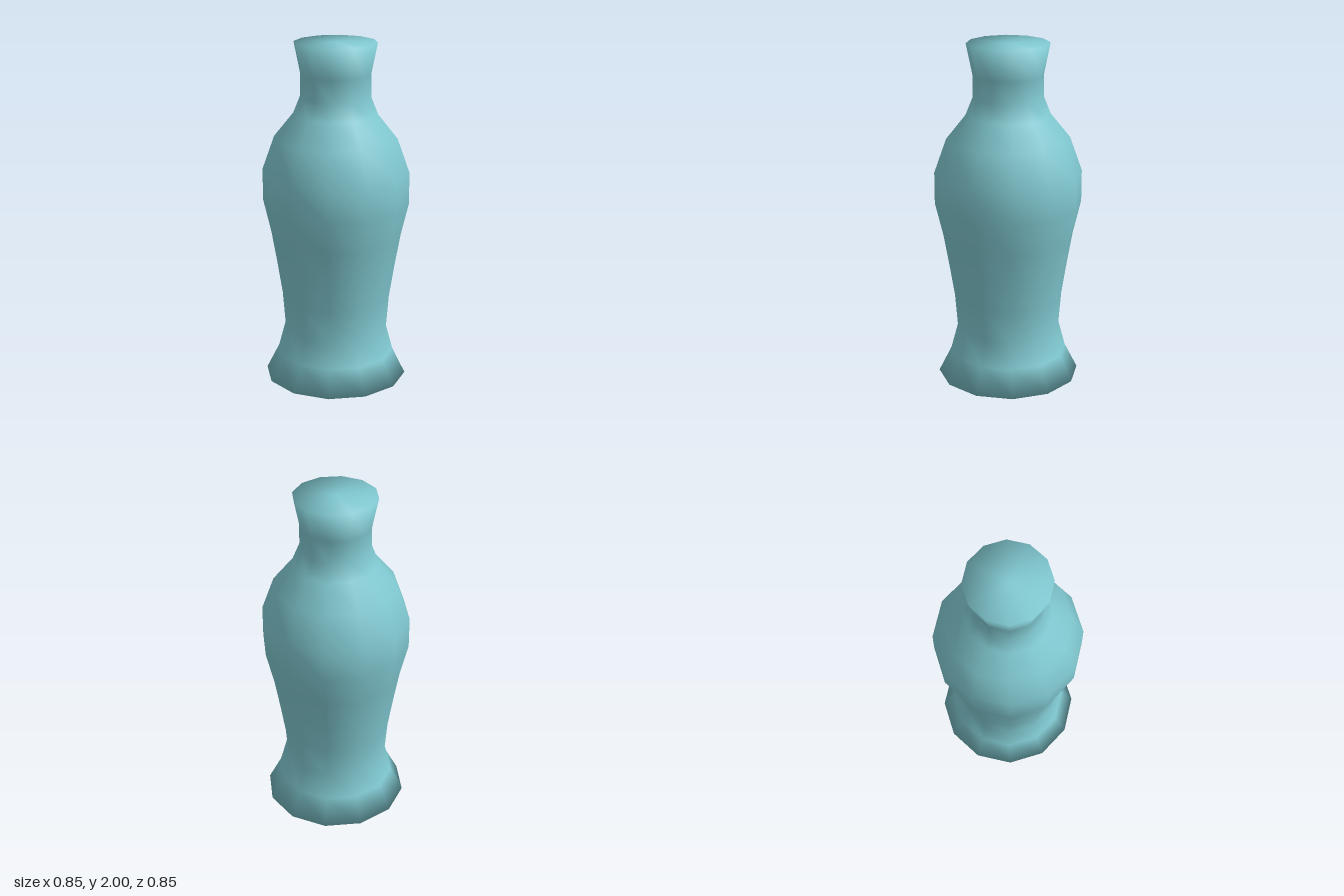
import * as THREE from 'three';
import { mergeVertices } from 'three/addons/utils/BufferGeometryUtils.js';

// Twelve-sided solid of revolution whose caps blend smoothly into the wall
function smoothLathe(profile, sides) {
  const points = profile.map(([r, y]) => new THREE.Vector2(r, y));
  const lathe = new THREE.LatheGeometry(points, sides);
  lathe.deleteAttribute('normal');
  lathe.deleteAttribute('uv');
  const geometry = mergeVertices(lathe, 1e-4);
  geometry.computeVertexNormals();
  return geometry;
}

export function createModel() {
  const group = new THREE.Group();
  group.name = 'vase';

  const glaze = new THREE.MeshStandardMaterial({ color: 0x80c8d0 });
  glaze.name = 'pale teal glaze';

  // Radius and height, from the closed foot to the closed mouth
  const profile = [
    [0, 0], [0.418, 0],                            // underside
    [0.343, 0.15], [0.303, 0.3],                   // flared foot
    [0.318, 0.49], [0.348, 0.68], [0.381, 0.87],   // tapering body
    [0.427, 1.065], [0.427, 1.25],                 // belly
    [0.356, 1.45], [0.243, 1.59],                  // shoulder
    [0.203, 1.69], [0.202, 1.82],                  // neck
    [0.238, 2], [0, 2],                            // lip and mouth
  ];
  const body = new THREE.Mesh(smoothLathe(profile, 12), glaze);
  body.name = 'vaseBody';
  group.add(body);

  return group;
}
